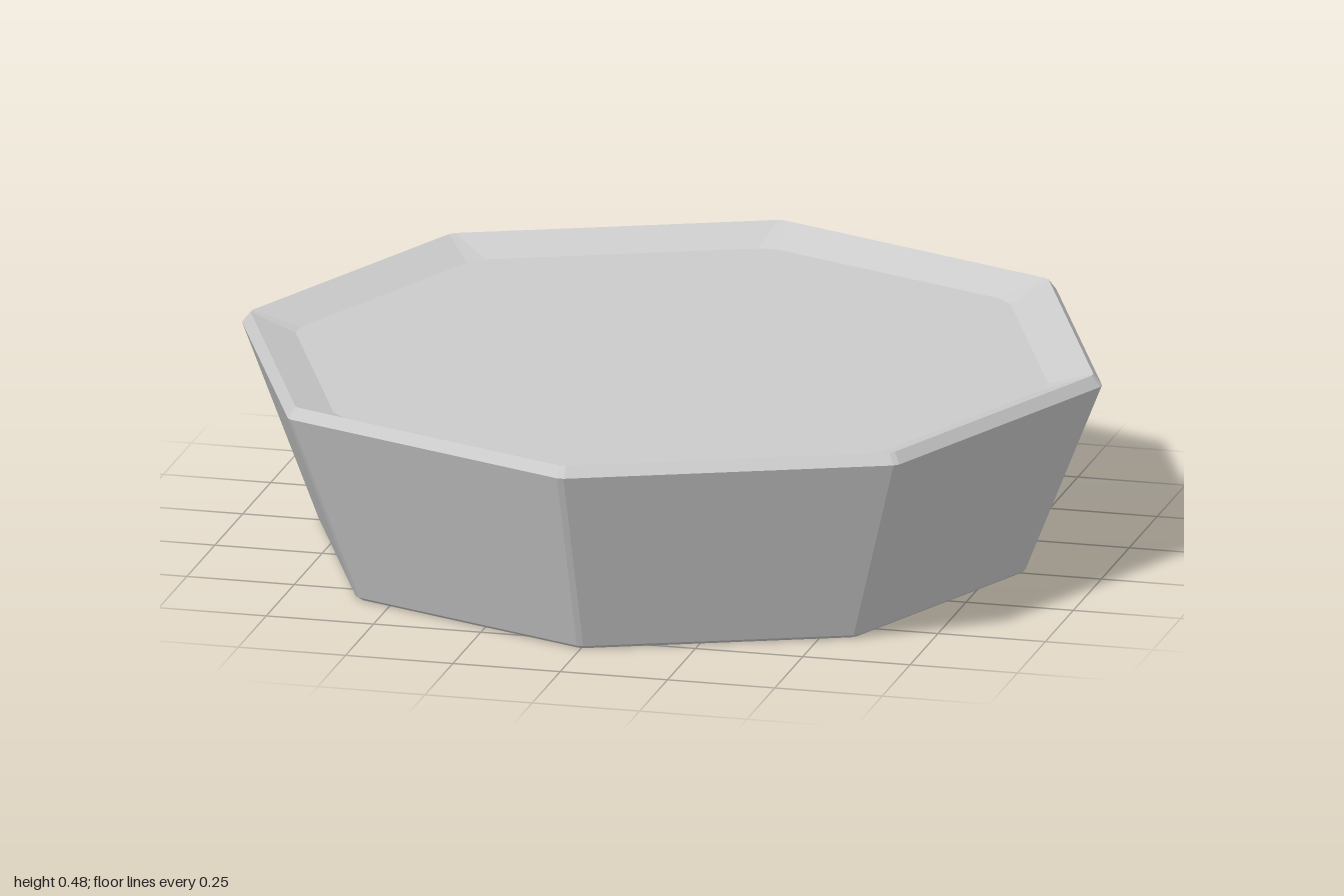
import * as THREE from 'three';

const SIDES = 8;

// Octagonal ring whose corners are clipped by a small chamfer of the given width.
function ring(reach, y, chamfer) {
  const points = [];
  for (let i = 0; i < SIDES; i++) {
    const a = (i / SIDES) * Math.PI * 2;
    for (const s of [-1, 1]) {
      const t = (s * chamfer) / 2;
      points.push(new THREE.Vector3(
        reach * Math.cos(a) - t * Math.sin(a), y,
        reach * Math.sin(a) + t * Math.cos(a)));
    }
  }
  return points;
}

// Skins consecutive rings and closes the first and last with flat caps.
function loft(rings) {
  const pos = [];
  const tri = (...pts) => pts.forEach((p) => pos.push(p.x, p.y, p.z));
  const n = rings[0].length;
  for (let r = 0; r < rings.length - 1; r++) {
    const low = rings[r], high = rings[r + 1];
    for (let i = 0; i < n; i++) {
      const j = (i + 1) % n;
      tri(low[i], high[i], high[j]);
      tri(low[i], high[j], low[j]);
    }
  }
  const first = rings[0], last = rings[rings.length - 1];
  for (let i = 1; i < n - 1; i++) {
    tri(first[0], first[i], first[i + 1]);
    tri(last[0], last[i + 1], last[i]);
  }
  const geometry = new THREE.BufferGeometry();
  geometry.setAttribute('position', new THREE.Float32BufferAttribute(pos, 3));
  geometry.computeVertexNormals();
  return geometry;
}

export function createModel() {
  const group = new THREE.Group();
  group.name = 'octagonalTray';
  const material = new THREE.MeshStandardMaterial({ color: 0xcccccc, flatShading: true });

  // Base, flared wall, bevelled rim, then the shallow slope to the recessed floor
  const tray = new THREE.Mesh(loft([
    ring(0.81, 0, 0.015),
    ring(0.822, 0.008, 0.015),
    ring(1, 0.455, 0.015),
    ring(0.98, 0.48, 0.015),
    ring(0.87, 0.444, 0.05),
  ]), material);
  tray.name = 'tray';
  group.add(tray);
  return group;
}
